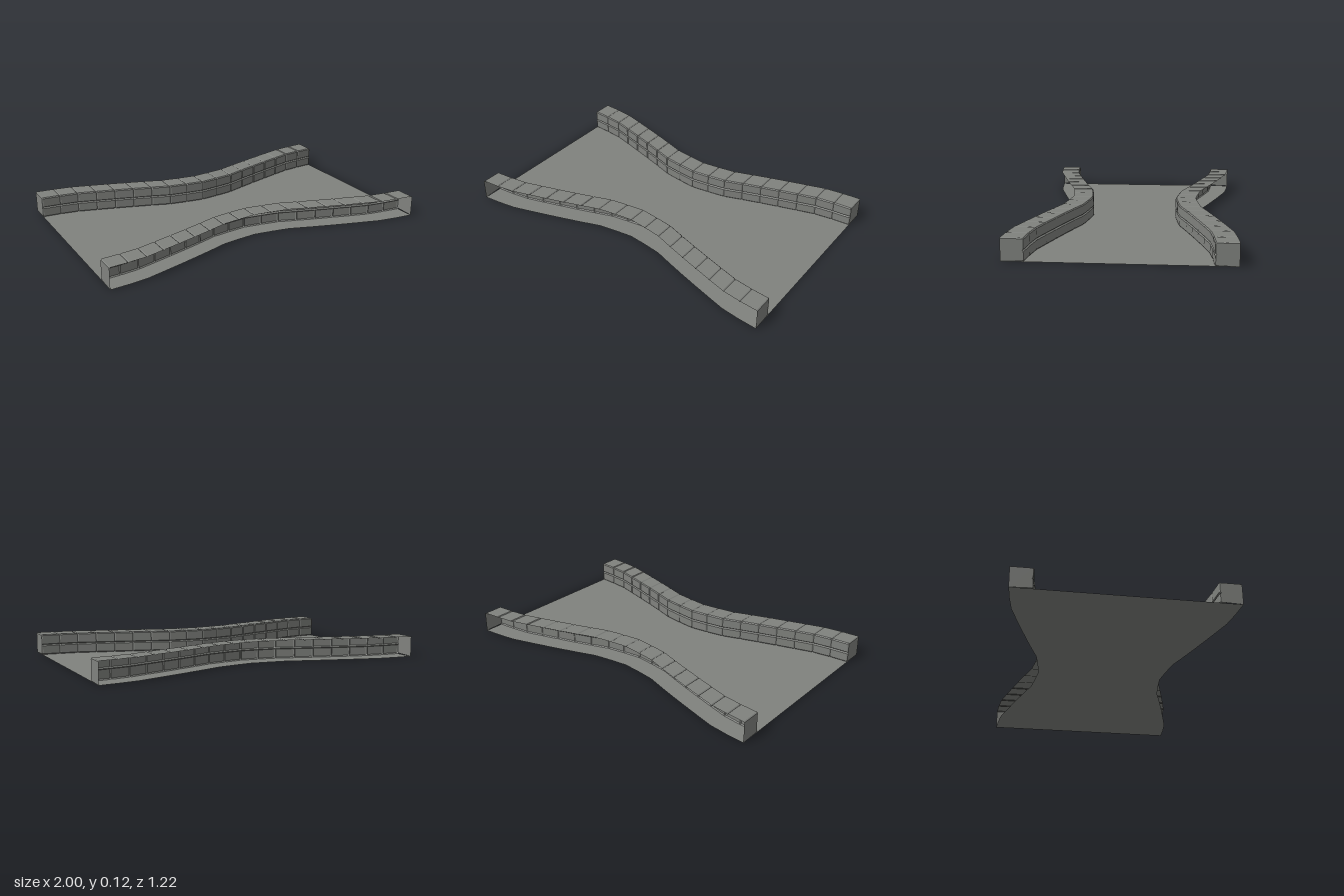
import * as THREE from 'three';

// Half-width of the deck at each stone joint, from the middle to the end
const HALF_WIDTH = [0.381, 0.394, 0.411, 0.449, 0.485, 0.519, 0.552, 0.584, 0.599, 0.608];
const STONES = 18, STEP = 2 / STONES;
const H = 0.125, DEPTH = 0.125, MID = 0.061, BEVEL = 0.006;

function outerZ(x) {
  const t = Math.min(Math.abs(x) / STEP, 9);
  const i = Math.min(Math.floor(t), 8);
  return THREE.MathUtils.lerp(HALF_WIDTH[i], HALF_WIDTH[i + 1], t - i);
}

// Stations along the kerb; each stone is pinched slightly at its joints
const stations = [{ x: -1, pinch: 0.004 }];
for (let i = 0; i < STONES; i++) {
  const x = -1 + i * STEP;
  stations.push({ x: x + BEVEL, pinch: 0 }, { x: x + STEP - BEVEL, pinch: 0 }, { x: x + STEP, pinch: 0.004 });
}

// Kerb section as [distance inward, height]: top, then two courses of inner face
function section(p) {
  const d = DEPTH - p, top = H - p;
  return [[0, top], [d - BEVEL, top], [d, top - BEVEL], [d, MID + BEVEL],
    [DEPTH - 0.009, MID], [d, MID - BEVEL], [d, p + BEVEL], [d - BEVEL, p]];
}

function surface(points, triangles, flip) {
  const g = new THREE.BufferGeometry();
  g.setAttribute('position', new THREE.Float32BufferAttribute(points.flat(), 3));
  g.setIndex(triangles.flatMap(([a, b, c]) => (flip ? [a, c, b] : [a, b, c])));
  const flat = g.toNonIndexed();
  flat.computeVertexNormals();
  return flat;
}

// Joins equal rows of points into a skin
function loft(rows, flip) {
  const n = rows[0].length, tris = [];
  for (let i = 0; i < rows.length - 1; i++) {
    for (let j = 0; j < n - 1; j++) {
      const a = i * n + j, b = a + n;
      tris.push([a, b, a + 1], [b, b + 1, a + 1]);
    }
  }
  return surface(rows.flat(), tris, flip);
}

const sectionPoints = (s, side) =>
  section(s.pinch).map(([d, y]) => [s.x, y, side * (outerZ(s.x) - d)]);

export function createModel() {
  const group = new THREE.Group();
  group.name = 'walledDeck';
  const stone = new THREE.MeshStandardMaterial({ color: 0x80827e, side: THREE.DoubleSide, flatShading: true });
  stone.name = 'grey stone';
  const add = (name, geometry, parent = group) => {
    const mesh = new THREE.Mesh(geometry, stone);
    mesh.name = name;
    parent.add(mesh);
  };

  // Thin floor reaching the outer edges
  add('deck', loft(stations.map(({ x }) => [[x, 0, outerZ(x)], [x, 0, -outerZ(x)]]), false));

  // Front and back kerbs: hollow, open on the outside, capped at both ends
  for (const side of [1, -1]) {
    const kerb = new THREE.Group();
    kerb.name = side > 0 ? 'frontKerb' : 'backKerb';
    add('kerbStones', loft(stations.map((s) => sectionPoints(s, side)), side < 0), kerb);
    for (const end of [1, -1]) {
      const s = stations[end > 0 ? stations.length - 1 : 0];
      const points = [[s.x, 0, side * outerZ(s.x)], ...sectionPoints(s, side)];
      const tris = [];
      for (let i = 1; i < points.length - 1; i++) tris.push([0, i, i + 1]);
      add(end > 0 ? 'leftEndCap' : 'rightEndCap', surface(points, tris, side * end > 0), kerb);
    }
    group.add(kerb);
  }
  return group;
}
